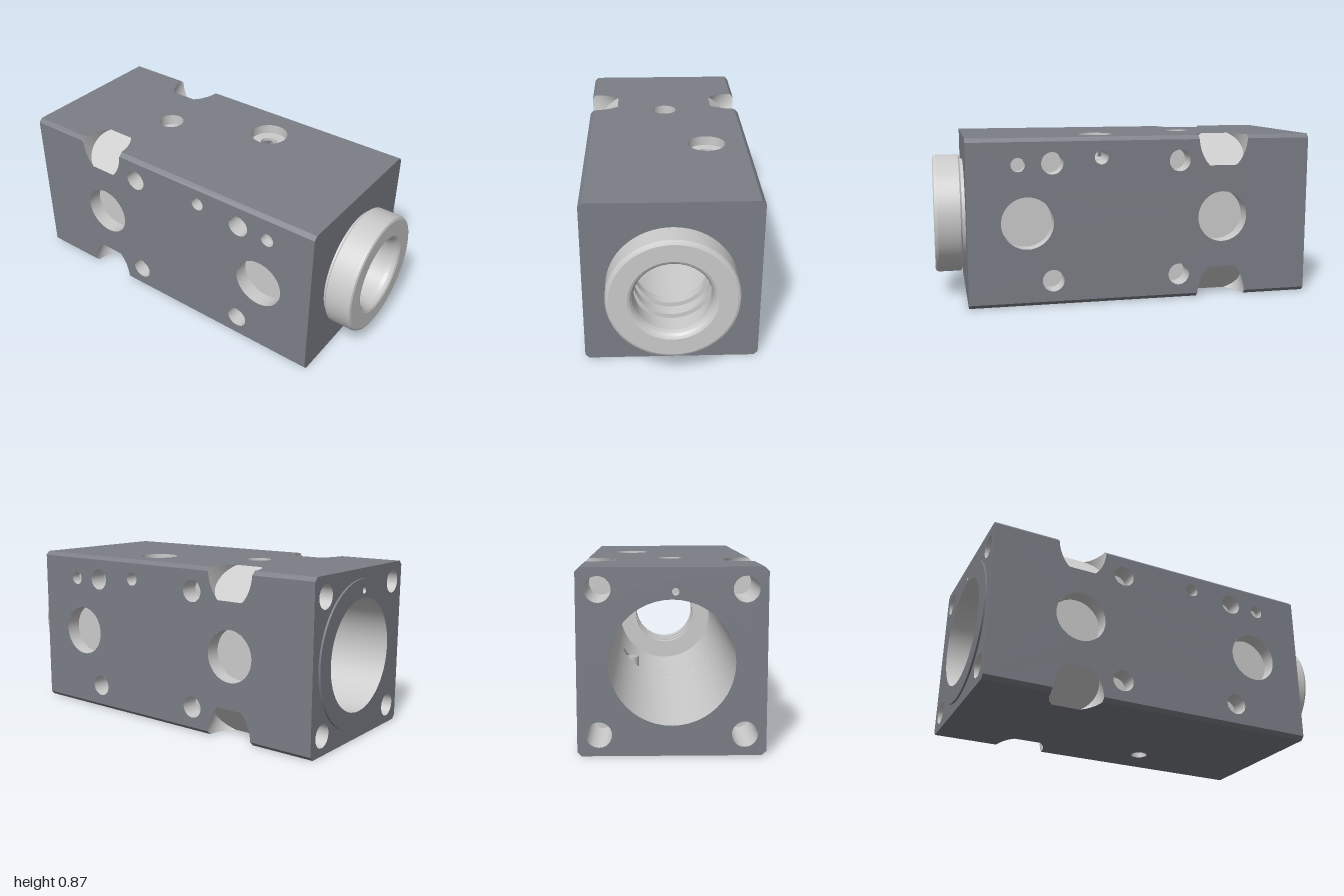
import * as THREE from 'three';
import { mergeGeometries } from 'three/addons/utils/BufferGeometryUtils.js';
import { ParametricGeometry } from 'three/addons/geometries/ParametricGeometry.js';

const H = 0.435;               // half height and half depth of the block
const X0 = -0.99, X1 = 0.84;   // block ends
const C = 0.02;                // chamfer on the long edges
const R = 0.135, D = 0.113, PX = -0.51; // corner pocket radius, depth, position
const BORE = 0.29;

const dark = new THREE.MeshStandardMaterial({ color: 0x7b7e86, side: THREE.DoubleSide });
const light = new THREE.MeshStandardMaterial({ color: 0xcccccc, side: THREE.DoubleSide });

function add(parent, name, geometry, material) {
  const mesh = new THREE.Mesh(geometry, material);
  mesh.name = name;
  parent.add(mesh);
  return mesh;
}

// Sharp-edged turned surface: each [radius, height] segment is its own lathe
function turned(profile, sides = 48, start = 0, length = Math.PI * 2) {
  const parts = [];
  for (let i = 1; i < profile.length; i++) {
    const pts = [profile[i - 1], profile[i]].map(([r, h]) => new THREE.Vector2(r, h));
    parts.push(new THREE.LatheGeometry(pts, sides, start, length));
  }
  return mergeGeometries(parts);
}

// A flat face with drilled holes; each hole is {u, v, p: [[radius, depth], ...]}
function face(parent, name, position, rotation, outline, holes) {
  const g = new THREE.Group();
  g.name = name;
  g.position.set(...position);
  g.rotation.set(...rotation);
  const shape = new THREE.Shape(outline.map(([u, v]) => new THREE.Vector2(u, v)));
  for (const { u, v, p } of holes) {
    shape.holes.push(new THREE.Path().absarc(u, v, p[0][0], 0, Math.PI * 2, true));
    if (p.length > 1) {
      const geo = turned(p.map(([r, d]) => [r, -d]), 40).rotateX(Math.PI / 2);
      add(g, 'hole', geo, light).position.set(u, v, 0);
    }
  }
  add(g, name + 'Plate', new THREE.ShapeGeometry(shape, 24), dark);
  parent.add(g);
}

// Long face outline with a notch for the corner pocket on both edges
function longOutline(sx) {
  const e = H - C, notch = [];
  const d1 = D * Math.SQRT2;
  for (let i = 0; i <= 14; i++) {
    const d = C + (d1 - C) * Math.sin((i / 14) * Math.PI / 2);
    notch.push([Math.sqrt(R * R - d * d / 2), H - d]);
  }
  const left = notch.map(([w, v]) => [PX - w, v]);
  const right = notch.map(([w, v]) => [PX + w, v]).reverse();
  const top = [[X0, e], ...left, ...right, [X1, e]];
  const bottom = top.map(([u, v]) => [u, -v]).reverse();
  return [...top, ...bottom].map(([u, v]) => [u * sx, v]);
}

const blind = (r, d) => [[r, 0], [r, d], [0, d]];

// Ports and bolt holes shared by the front and back faces
function sideHoles(sx, crossDepth) {
  const holes = [];
  for (const x of [PX, 0.535]) holes.push({ u: sx * x, v: 0, p: blind(R, 0.08) });
  for (const x of [-0.27, 0.405])
    for (const v of [-0.305, 0.305]) holes.push({ u: sx * x, v, p: blind(0.057, 0.1) });
  holes.push({ u: sx * 0.58, v: 0.3, p: blind(0.036, 0.05) });
  holes.push({ u: sx * 0.15, v: 0.33, p: [[0.036, 0], [0.036, crossDepth]] });
  return holes;
}

// One long edge: chamfer strips and the round-walled pocket, outward is local +z
function edge(parent, k) {
  const g = new THREE.Group();
  g.name = 'edge';
  g.rotation.x = k * Math.PI / 2 - Math.PI / 4;
  const corner = H * Math.SQRT2, s0 = C / Math.SQRT2;
  for (const [a, b] of [[X0, PX - R], [PX + R, X1]]) {
    add(g, 'chamfer', new THREE.PlaneGeometry(b - a, C * Math.SQRT2), dark)
      .position.set((a + b) / 2, 0, corner - s0);
  }
  const a0 = Math.asin(D / R), floor = [];
  for (const sgn of [1, -1]) {
    const wall = new ParametricGeometry((u, v, p) => {
      const a = (u * 2 - 1) * a0, t = R * Math.sin(a);
      const rim = Math.max(Math.abs(t), s0);
      p.set(PX + sgn * R * Math.cos(a), sgn * t, corner - (rim + (D - rim) * v));
    }, 32, 2);
    wall.computeVertexNormals();
    add(g, 'pocketWall', wall, light);
    for (let i = 0; i <= 20; i++) {
      const a = (i / 10 - 1) * a0;
      floor.push(new THREE.Vector2(PX + sgn * R * Math.cos(a), sgn * R * Math.sin(a)));
    }
  }
  add(g, 'pocketFloor', new THREE.ShapeGeometry(new THREE.Shape(floor)), light)
    .position.z = corner - D;
  parent.add(g);
}

export function createModel() {
  const model = new THREE.Group();
  model.name = 'manifoldBlock';
  const body = new THREE.Group();
  body.name = 'body';
  body.position.y = H;
  model.add(body);
  const q = Math.PI / 2;

  // Four long faces
  face(body, 'front', [0, 0, H], [0, 0, 0], longOutline(1), sideHoles(1, 0.6));
  face(body, 'back', [0, 0, -H], [0, Math.PI, 0], longOutline(-1), sideHoles(-1, 0.18));
  face(body, 'top', [0, H, 0], [-q, 0, 0], longOutline(1), [
    { u: 0.15, v: 0.21, p: [[0.1, 0], [0.1, 0.05], [0.045, 0.05], [0.045, 0.068]] },
    { u: -0.375, v: 0, p: [[0.068, 0], [0.068, 0.06], [0.025, 0.06], [0.025, 0.13], [0, 0.13]] },
  ]);
  face(body, 'bottom', [0, -H, 0], [q, 0, 0], longOutline(1), [
    { u: 0.15, v: -0.21, p: [[0.045, 0], [0.045, 0.25]] },
  ]);
  add(body, 'crossDrilling', turned([[0.045, 0.295], [0.045, 0.19]], 40), light)
    .position.set(0.15, 0, -0.21);

  // Chamfered edges with corner pockets
  for (let k = 0; k < 4; k++) edge(body, k);

  // End faces
  const e = H - C;
  const octagon = [[H, -e], [H, e], [e, H], [-e, H], [-H, e], [-H, -e], [-e, -H], [e, -H]];
  const tieHoles = [];
  for (const u of [-0.335, 0.335])
    for (const v of [-0.335, 0.335]) tieHoles.push({ u, v, p: blind(0.06, 0.33) });
  face(body, 'rightEnd', [X1, 0, 0], [0, q, 0], octagon, [{ u: 0, v: 0, p: [[0.29]] }]);
  face(body, 'leftEnd', [X0, 0, 0], [0, -q, 0], octagon,
    [{ u: 0, v: 0, p: [[0.383]] }, ...tieHoles]);

  // Raised ring around the left bore, with a pin hole
  const circle = [];
  for (let i = 0; i < 72; i++) {
    const a = (i / 72) * Math.PI * 2;
    circle.push([0.385 * Math.cos(a), 0.385 * Math.sin(a)]);
  }
  face(body, 'leftRing', [-1, 0, 0], [0, -q, 0], circle, [
    { u: 0, v: 0, p: [[BORE]] },
    { u: 0.015, v: 0.325, p: blind(0.017, 0.06) },
  ]);
  add(body, 'leftRingRim', turned([[0.385, -1], [0.385, X0]], 72).rotateZ(-q), dark);

  // Collar outside, then the stepped bore back to the left end
  const collar = [
    [0.295, X1], [0.295, 0.857], [0.313, 0.857], [0.32, 0.865], [0.32, 0.982],
    [0.314, 0.995], [0.303, 1], [0.215, 1], [0.203, 0.994], [0.193, 0.98], [0.187, 0.96],
    [0.187, 0.88], [0.21, 0.88], [0.21, 0.83], [0.187, 0.83], [0.187, 0.78],
    [0.21, 0.78], [0.21, 0.73], [0.187, 0.73], [0.187, 0.68], [BORE, 0.68],
  ];
  add(body, 'collar', turned(collar, 72).rotateZ(-q), light);
  const bore = [[[BORE, 0.68], [BORE, 0.195]], [[BORE, 0.105], [BORE, -1]]];
  for (const p of bore) add(body, 'bore', turned(p, 72).rotateZ(-q), light);

  // Bore band left open where the vertical drilling passes through
  const band = [[BORE, 0.195], [BORE, 0.105]];
  const p1 = Math.acos(-0.165 / BORE), p2 = Math.acos(-0.255 / BORE);
  const arcs = [[p2, 2 * (Math.PI - p2)], [2 * Math.PI - p1, 2 * p1]];
  for (const [start, len] of arcs)
    add(body, 'boreBand', turned(band, 48, start, len).rotateZ(-q), light);

  return model;
}
